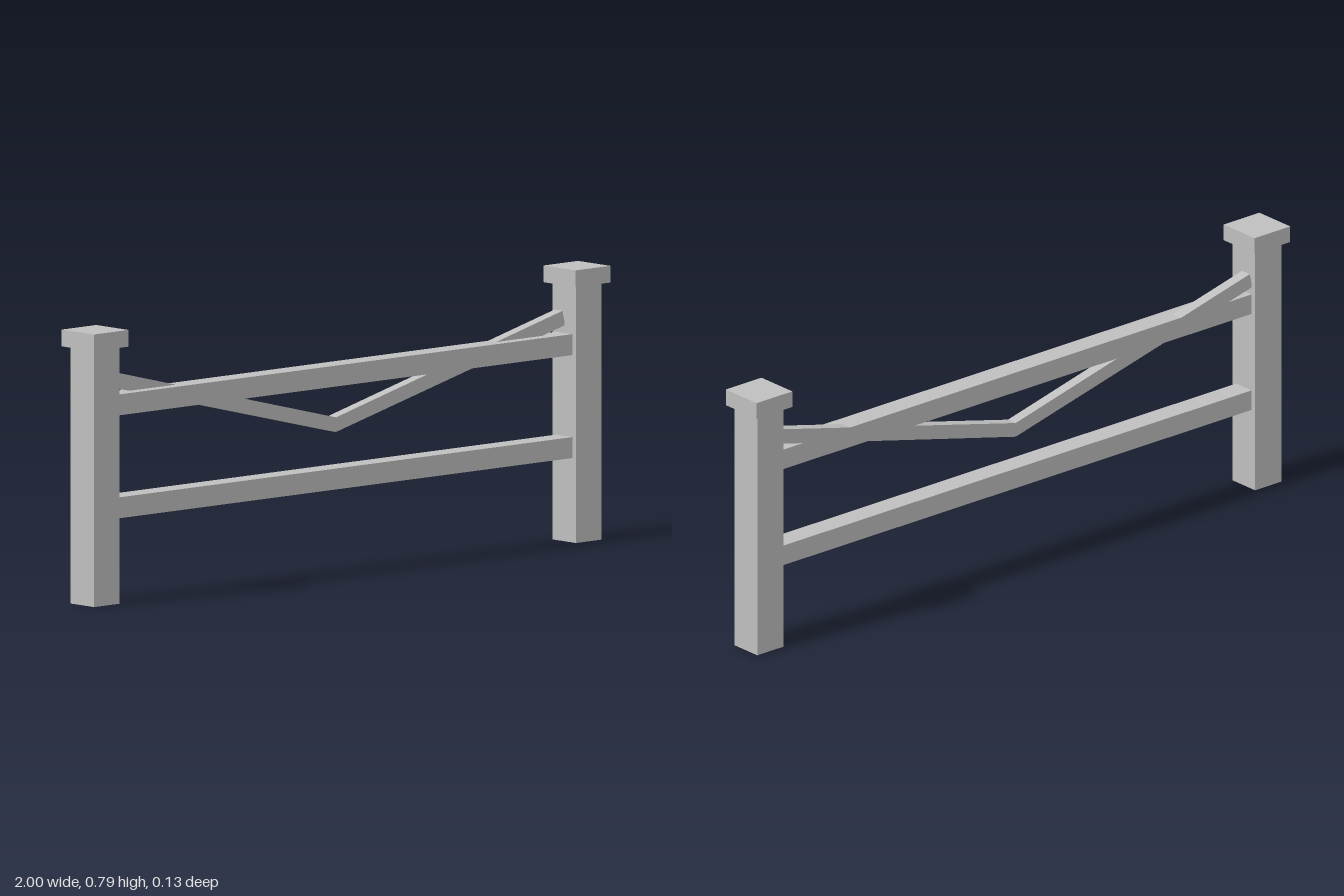
import * as THREE from 'three';

export function createModel() {
  const group = new THREE.Group();
  const grey = new THREE.MeshStandardMaterial({ color: 0xbfbfbf });
  grey.name = 'plain grey';

  const add = (name, geometry, x, y, z) => {
    const mesh = new THREE.Mesh(geometry, grey);
    mesh.name = name;
    mesh.position.set(x, y, z);
    group.add(mesh);
  };

  // Square posts with overhanging caps
  for (const [label, side] of [['left', 1], ['right', -1]]) {
    add(`${label}Post`, new THREE.BoxGeometry(0.098, 0.737, 0.098), side * 0.933, 0.3685, 0);
    add(`${label}PostCap`, new THREE.BoxGeometry(0.134, 0.048, 0.134), side * 0.933, 0.761, 0);
  }

  // Horizontal rails running between the posts
  for (const [name, y] of [['lowerRail', 0.272], ['upperRail', 0.567]]) {
    add(name, new THREE.BoxGeometry(1.77, 0.06, 0.067), 0, y, 0);
  }

  // V-shaped brace, half as deep as the rails and flush with their back
  const brace = new THREE.Shape([
    [0, 0.4], [0.887, 0.619], [0.877, 0.661],
    [0, 0.442], [-0.877, 0.661], [-0.887, 0.619],
  ].map(([x, y]) => new THREE.Vector2(x, y)));
  add('brace', new THREE.ExtrudeGeometry(brace, { depth: 0.0335, bevelEnabled: false }), 0, 0, -0.0335);

  return group;
}
